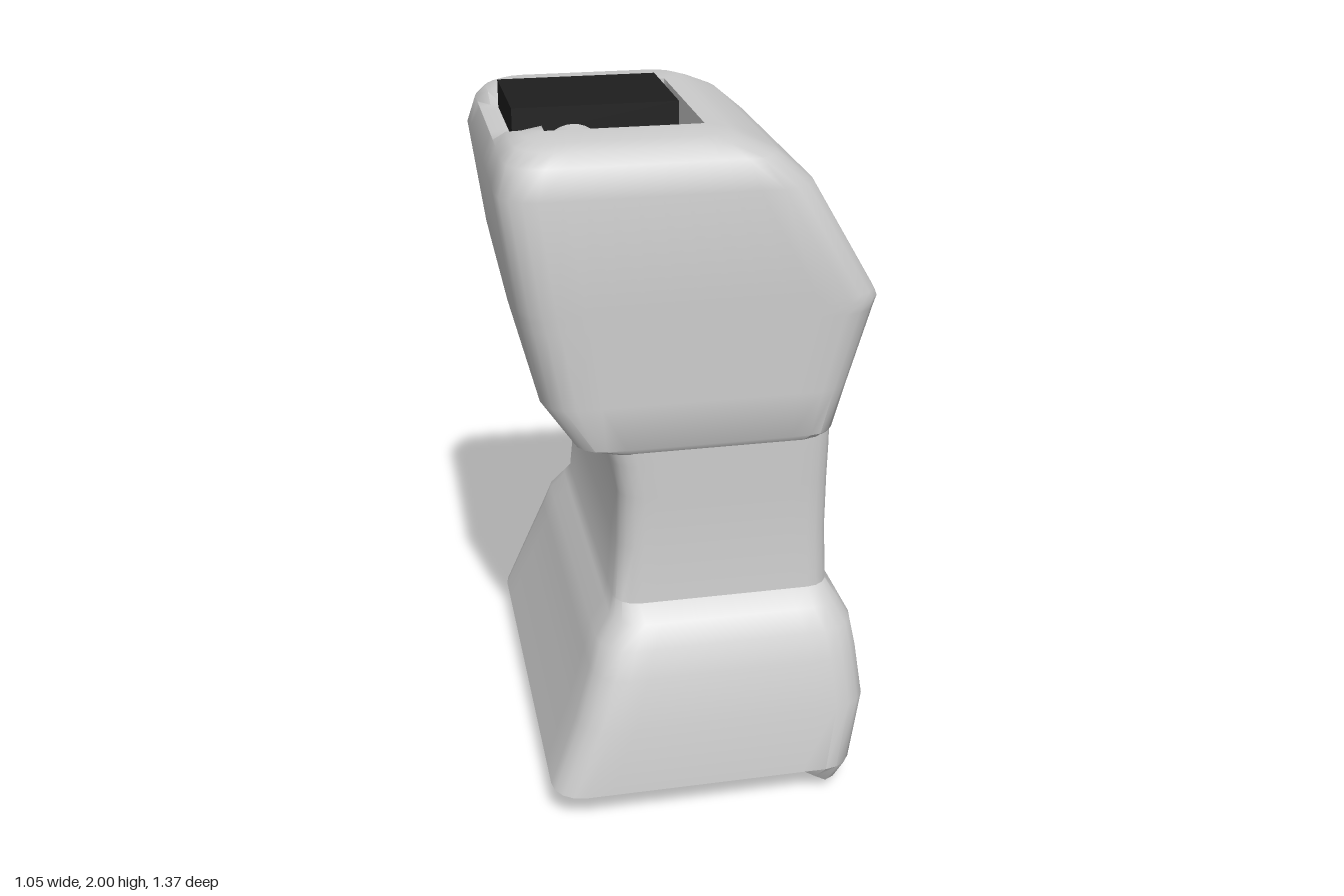
import * as THREE from 'three';
import { toCreasedNormals } from 'three/addons/utils/BufferGeometryUtils.js';

const ARC = 5, SIDE = 10;

// Rounded rectangle in the xz plane with a constant number of points
function roundedLoop(x0, x1, zh, radius) {
  const r = Math.min(radius, (x1 - x0) / 2, zh);
  const corners = [[x1 - r, zh - r], [x0 + r, zh - r], [x0 + r, r - zh], [x1 - r, r - zh]];
  const arcs = corners.map(([cx, cz], q) => Array.from({ length: ARC }, (_, k) => {
    const a = (q + k / (ARC - 1)) * Math.PI / 2;
    return [cx + r * Math.cos(a), cz + r * Math.sin(a)];
  }));
  const pts = [];
  arcs.forEach((arc, q) => {
    pts.push(...arc);
    const a = arc[ARC - 1], b = arcs[(q + 1) % 4][0];
    for (let s = 1; s < SIDE; s++) {
      const t = s / SIDE;
      pts.push([a[0] + (b[0] - a[0]) * t, a[1] + (b[1] - a[1]) * t]);
    }
  });
  return pts;
}

// Skin over levels [y, xMin, xMax, zHalf, cornerRadius], with a rule that bends y
function loft(levels, bendY, crease) {
  const pos = [], index = [];
  let n = 0;
  for (const [y, x0, x1, zh, r] of levels) {
    const loop = roundedLoop(x0, x1, zh, r);
    n = loop.length;
    for (const [x, z] of loop) pos.push(x, bendY(x, y, z), z);
  }
  for (let i = 0; i < levels.length - 1; i++) {
    for (let j = 0; j < n; j++) {
      const a = i * n + j, b = i * n + (j + 1) % n;
      index.push(a, a + n, b, b, a + n, b + n);
    }
  }
  const g = new THREE.BufferGeometry();
  g.setAttribute('position', new THREE.Float32BufferAttribute(pos, 3));
  g.setIndex(index);
  return toCreasedNormals(g, crease);
}

export function createModel() {
  const model = new THREE.Group();
  const grey = new THREE.MeshStandardMaterial({ color: 0xcccccc });
  const add = (name, geometry, material = grey) => {
    const mesh = new THREE.Mesh(geometry, material);
    mesh.name = name;
    model.add(mesh);
    return mesh;
  };

  // Flared foot and waisted neck; the lower edge drops to a lip on the +x side
  const lip = (x, y) => y >= 0.1 ? y : 0.1 - (0.1 - y) * THREE.MathUtils.smoothstep(x, 0.26, 0.38);
  add('footAndNeck', loft([
    [0.1, -0.06, -0.06, 0, 0],
    [0.1, -0.40, 0.28, 0.58, 0.06],
    [0.0, -0.44, 0.40, 0.60, 0.08],
    [0.03, -0.45, 0.42, 0.655, 0.09],
    [0.1, -0.455, 0.443, 0.685, 0.09],
    [0.30, -0.375, 0.485, 0.662, 0.10],
    [0.44, -0.325, 0.472, 0.62, 0.10],
    [0.52, -0.30, 0.46, 0.592, 0.10],
    [0.58, -0.255, 0.425, 0.555, 0.09],
    [0.62, -0.24, 0.40, 0.50, 0.07],
    [0.79, -0.225, 0.395, 0.485, 0.07],
    [0.95, -0.22, 0.395, 0.485, 0.07],
    [1.05, -0.24, 0.397, 0.485, 0.07],
    [1.14, -0.27, 0.397, 0.485, 0.07],
  ], lip, 0.7));

  // Head with a pocket sunk in its top; the rim dips under the lever
  const dip = (x, y, z) => (x < -0.37 && Math.abs(z) < 0.21 && y > 1.92) ? 1.92 : y;
  add('head', loft([
    [1.12, -0.20, 0.37, 0.45, 0.08],
    [1.085, -0.26, 0.38, 0.48, 0.08],
    [1.11, -0.34, 0.40, 0.50, 0.08],
    [1.24, -0.43, 0.44, 0.50, 0.09],
    [1.465, -0.477, 0.51, 0.50, 0.10],
    [1.495, -0.483, 0.52, 0.50, 0.10],
    [1.515, -0.487, 0.51, 0.50, 0.10],
    [1.83, -0.53, 0.325, 0.50, 0.10],
    [1.91, -0.505, 0.23, 0.48, 0.10],
    [1.945, -0.475, 0.15, 0.45, 0.10],
    [1.96, -0.44, 0.11, 0.41, 0.08],
    [1.96, -0.38, 0.055, 0.28, 0.001],
    [1.84, -0.38, 0.055, 0.28, 0.001],
    [1.84, -0.16, -0.16, 0, 0],
  ], dip, 0.7));

  // Hinge barrel lying in the pocket
  const barrel = add('hingeBarrel', new THREE.CylinderGeometry(0.09, 0.09, 0.56, 32));
  barrel.rotation.x = Math.PI / 2;
  barrel.position.set(-0.29, 1.86, 0);

  // Dark lever plate over the pocket
  const lever = add('leverPlate', new THREE.BoxGeometry(0.46, 0.08, 0.36),
    new THREE.MeshStandardMaterial({ color: 0x1e1e1e }));
  lever.position.set(-0.225, 1.96, 0);

  // Heart inlay on the sloping +x face, drawn up from its tip
  const s = new THREE.Shape();
  s.moveTo(0, 0);
  s.lineTo(0.085, 0.108);
  s.bezierCurveTo(0.115, 0.15, 0.095, 0.22, 0.052, 0.22);
  s.bezierCurveTo(0.025, 0.22, 0.006, 0.2, 0, 0.178);
  s.bezierCurveTo(-0.006, 0.2, -0.025, 0.22, -0.052, 0.22);
  s.bezierCurveTo(-0.095, 0.22, -0.115, 0.15, -0.085, 0.108);
  s.closePath();
  const heart = add('heartInlay', new THREE.ShapeGeometry(s, 10),
    new THREE.MeshStandardMaterial({ color: 0x767676 }));
  heart.rotation.set(0, Math.PI / 2, 0.531, 'ZYX');
  heart.position.set(0.498, 1.542, -0.2);

  return model;
}
